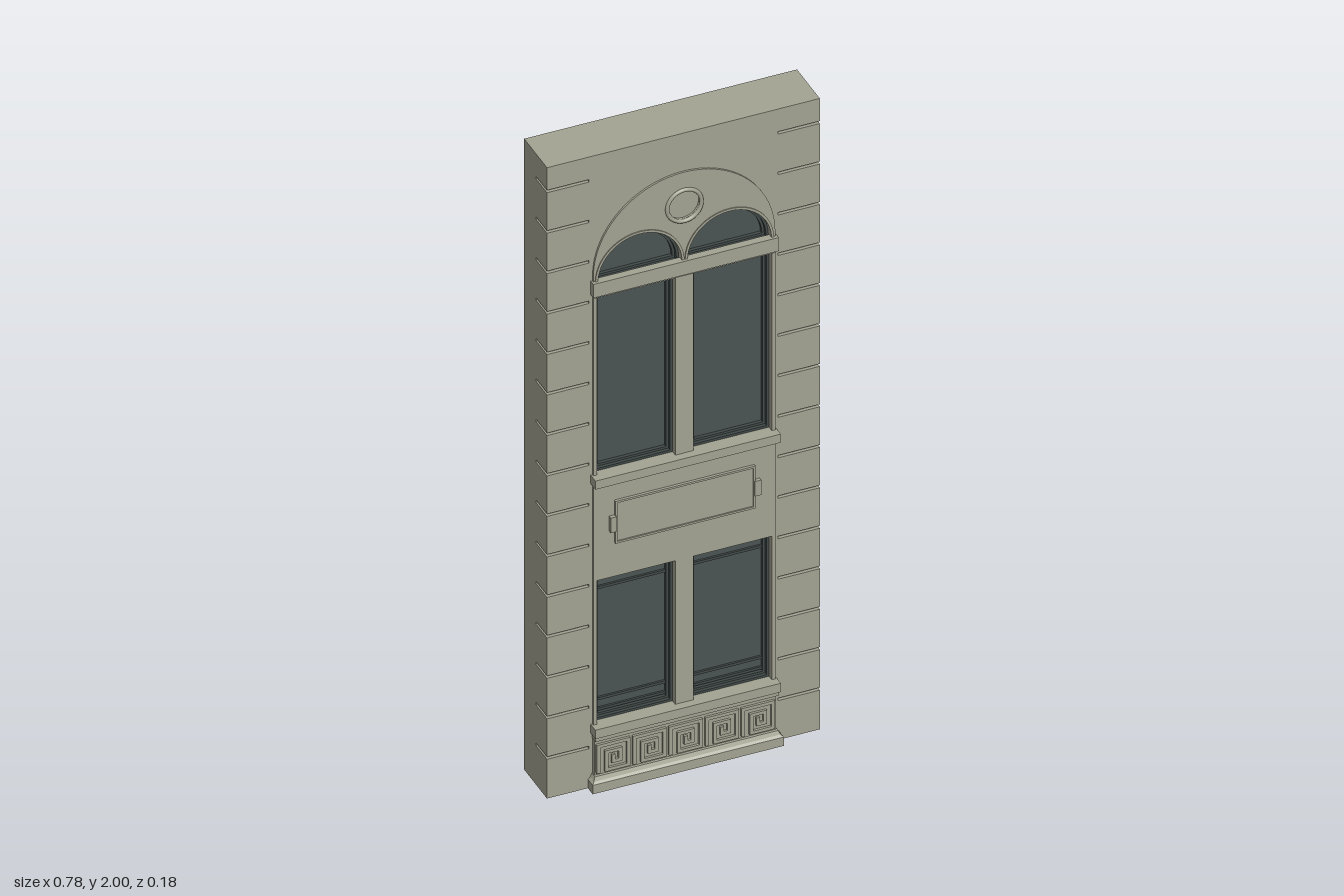
import * as THREE from 'three';

const material = (name, color) => {
  const m = new THREE.MeshStandardMaterial({ color });
  m.name = name;
  return m;
};

export function createModel() {
  const stone = material('stone', 0xa3a392);
  const glass = material('dark glass', 0x4a5452);
  const sash = material('sash paint', 0x414a48);
  const model = new THREE.Group();
  model.name = 'facadeBay';

  const add = (name, geometry, mat = stone) => {
    const mesh = new THREE.Mesh(geometry, mat);
    mesh.name = name;
    model.add(mesh);
    return mesh;
  };
  // Box given by its limits
  const box = (name, x0, x1, y0, y1, z0, z1, mat) =>
    add(name, new THREE.BoxGeometry(x1 - x0, y1 - y0, z1 - z0)
      .translate((x0 + x1) / 2, (y0 + y1) / 2, (z0 + z1) / 2), mat);
  const extrude = (name, shape, z0, z1, mat) =>
    add(name, new THREE.ExtrudeGeometry(shape, { depth: z1 - z0, bevelEnabled: false, curveSegments: 28 })
      .translate(0, 0, z0), mat);

  const rect = (x0, x1, y0, y1) => new THREE.Shape([
    [x0, y0], [x1, y0], [x1, y1], [x0, y1]].map(p => new THREE.Vector2(...p)));
  // Upright outline with a semicircular head
  const arch = (cx, r, y0, spring) => {
    const s = new THREE.Shape();
    s.moveTo(cx - r, y0);
    s.lineTo(cx + r, y0);
    s.lineTo(cx + r, spring);
    s.absarc(cx, spring, r, 0, Math.PI, false);
    s.closePath();
    return s;
  };
  const disc = r => new THREE.Shape().absarc(0, 1.775, r, 0, Math.PI * 2, false);

  // Window openings; inset gives the inner edge of the sash
  const windows = [];
  for (const s of [-1, 1]) {
    const x0 = s > 0 ? 0.026 : -0.25, x1 = s > 0 ? 0.25 : -0.026;
    windows.push(
      { name: 'lowerWindow', at: i => rect(x0 + i, x1 - i, 0.2 + i, 0.655 - i) },
      { name: 'upperWindow', at: i => rect(x0 + i, x1 - i, 0.99 + i, 1.557 - i) },
      { name: 'archedLight', at: i => arch(s * 0.128, 0.12 - i, 1.59 + i, 1.602) });
  }
  const pierce = shape => {
    windows.forEach(w => shape.holes.push(w.at(0)));
    shape.holes.push(disc(0.046));
    return shape;
  };

  // Wall: rear slab, pierced centre and slightly proud arched bay
  box('rearWall', -0.39, 0.39, 0, 2, -0.09, -0.015);
  extrude('centreWall', pierce(rect(-0.27, 0.27, 0, 2)), -0.015, 0.056);
  extrude('archedBay', pierce(arch(0, 0.26, 0.16, 1.62)), 0.056, 0.062);

  // Rusticated piers with open joints between the courses
  const pitch = 0.1283, joint = 0.008;
  for (const s of [-1, 1]) {
    const span = (a, b) => s > 0 ? [a, b] : [-b, -a];
    box('pierCore', ...span(0.27, 0.38), 0, 2, -0.015, 0.046);
    for (let i = 0; i < 16; i++) {
      const y0 = i ? i * pitch + joint / 2 : 0;
      const y1 = i < 15 ? (i + 1) * pitch - joint / 2 : 2;
      box('pierBlock', ...span(0.27, 0.39), y0, y1, -0.015, 0.056);
    }
  }

  // Glazing and stepped sashes
  for (const w of windows) {
    extrude(w.name + 'Glass', w.at(0), 0.018, 0.024, glass);
    [[0, 0.007, 0.044], [0.007, 0.014, 0.034]].forEach(([a, b, z]) => {
      const frame = w.at(a);
      frame.holes.push(w.at(b));
      extrude(w.name + 'Sash', frame, 0.02, z, sash);
    });
  }
  for (const s of [-1, 1]) {
    for (const y of [0.222, 0.255, 0.607])
      box('lowerWindowRail', s * 0.138 - 0.1, s * 0.138 + 0.1, y - 0.004, y + 0.004, 0.02, 0.03, sash);
    // Raised hood around each arched light
    const hood = arch(s * 0.128, 0.127, 1.59, 1.602);
    hood.holes.push(arch(s * 0.128, 0.12, 1.59, 1.602));
    extrude('archHood', hood, 0.056, 0.065);
  }

  // Round medallion
  add('medallionRing', new THREE.TorusGeometry(0.049, 0.006, 8, 40).translate(0, 1.775, 0.062));
  extrude('medallionDisc', disc(0.047), 0.03, 0.05);

  // Horizontal mouldings
  box('transom', -0.265, 0.265, 1.562, 1.605, 0.05, 0.073);
  box('transomFillet', -0.26, 0.26, 1.555, 1.562, 0.05, 0.067);
  box('upperSill', -0.265, 0.265, 0.963, 0.99, 0.05, 0.086);
  box('lowerSill', -0.265, 0.265, 0.172, 0.2, 0.05, 0.086);
  box('lowerSillFillet', -0.262, 0.262, 0.158, 0.172, 0.05, 0.08);

  // Tablet with raised border and side ears
  const border = rect(-0.2, 0.2, 0.763, 0.897);
  border.holes.push(rect(-0.194, 0.194, 0.769, 0.891));
  extrude('tabletBorder', border, 0.056, 0.07);
  box('tabletField', -0.194, 0.194, 0.769, 0.891, 0.056, 0.066);
  for (const s of [-1, 1])
    box('tabletEar', s * 0.206 - 0.009, s * 0.206 + 0.009, 0.803, 0.85, 0.056, 0.073);

  // Moulded plinth, one cross-section narrowing towards the top
  const rings = [[0, 0.273, 0.087], [0.028, 0.273, 0.087], [0.034, 0.267, 0.081], [0.045, 0.262, 0.076]];
  rings.slice(1).forEach(([y1, w1, d1], i) => {
    const [y0, w0, d0] = rings[i];
    const g = new THREE.BoxGeometry(2, 1, 1), p = g.attributes.position;
    for (let k = 0; k < p.count; k++) {
      const up = p.getY(k) > 0;
      p.setXYZ(k, p.getX(k) * (up ? w1 : w0), up ? y1 : y0, p.getZ(k) > 0 ? (up ? d1 : d0) : 0.05);
    }
    const flat = g.toNonIndexed();
    flat.computeVertexNormals();
    add('plinth', flat);
  });

  // Apron with five square fret spirals
  box('apron', -0.26, 0.26, 0.045, 0.158, 0.05, 0.068);
  const fret = [[0, 0], [0, 1], [1, 1], [1, 0], [0.27, 0], [0.27, 0.7], [0.73, 0.7], [0.73, 0.28], [0.5, 0.28], [0.5, 0.48]];
  const half = 0.005;
  for (let c = 0; c < 5; c++) {
    const at = ([u, v]) => [-0.251 + c * 0.1035 + u * 0.086, 0.057 + v * 0.08];
    for (let i = 1; i < fret.length; i++) {
      const [ax, ay] = at(fret[i - 1]), [bx, by] = at(fret[i]);
      box('fretStrip', Math.min(ax, bx) - half, Math.max(ax, bx) + half,
        Math.min(ay, by) - half, Math.max(ay, by) + half, 0.066, 0.075);
    }
  }
  return model;
}
